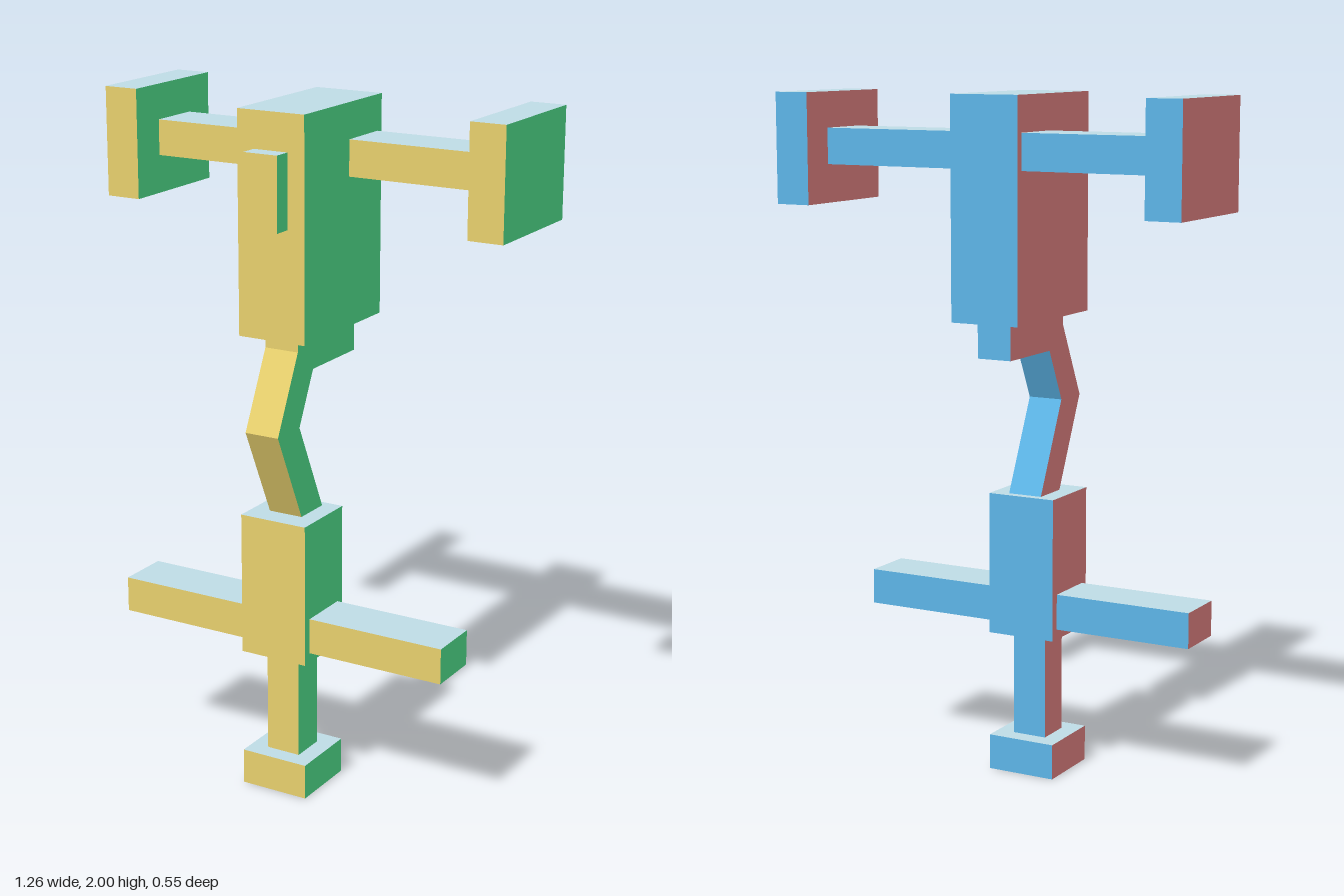
import * as THREE from 'three';

const U = 2 / 19; // block unit

function paint(name, color) {
  const m = new THREE.MeshStandardMaterial({ color });
  m.name = name;
  return m;
}

export function createModel() {
  const group = new THREE.Group();

  // One colour per direction, in box group order: +x, -x, +y, -y, +z, -z
  const sides = [
    paint('leftGreen', 0x56ef96),
    paint('rightRed', 0xf58e8d),
    paint('topPaleBlue', 0xbfdce6),
    paint('bottomSlate', 0x5a677a),
    paint('frontYellow', 0xf8df76),
    paint('backBlue', 0x63c1f6),
  ];

  // Box given by its extents along x, y and z
  function block(name, [x0, x1], [y0, y1], [z0, z1]) {
    const geo = new THREE.BoxGeometry(x1 - x0, y1 - y0, z1 - z0);
    const mesh = new THREE.Mesh(geo, sides);
    mesh.name = name;
    mesh.position.set((x0 + x1) / 2, (y0 + y1) / 2, (z0 + z1) / 2);
    group.add(mesh);
    return mesh;
  }

  // Leaning strut: a box sheared in z between two heights
  function strut(name, y0, zLow, y1, zHigh) {
    const mesh = block(name, [-U / 2, U / 2], [y0, y1], [-0.0575, 0.0575]);
    const p = mesh.geometry.attributes.position;
    for (let i = 0; i < p.count; i++) {
      p.setZ(i, p.getZ(i) + (p.getY(i) > 0 ? zHigh : zLow));
    }
    mesh.geometry.computeVertexNormals();
  }

  const wide = [-U, U];
  const narrow = [-U / 2, U / 2];

  // Foot, post and lower body
  block('foot', wide, [0, U], [0.012, 0.222]);
  block('post', narrow, [U, 4 * U], [0.065, 0.17]);
  block('lowerBody', wide, [4 * U, 8 * U], [0.012, 0.222]);

  // Bent neck
  strut('lowerNeck', 0.82, 0.084, 1.11, 0.2195);
  strut('upperNeck', 1.11, 0.2195, 13 * U, 0.094);
  block('neckBracket', narrow, [12 * U, 13 * U], [-0.143, 0.17]);

  // Upper body and front plate
  block('upperBody', wide, [13 * U, 2], [-0.199, 0.222]);
  block('frontPlate', narrow, [16 * U, 18 * U], [0.222, 0.275]);

  // Arms and end plates, mirrored
  for (const s of [1, -1]) {
    const label = s > 0 ? 'left' : 'right';
    const span = (a, b) => (s > 0 ? [a, b] : [-b, -a]);
    block(label + 'LowerArm', span(U, 5 * U), [0.451, 0.556], [0.038, 0.196]);
    block(label + 'UpperArm', span(U, 5 * U), [17 * U + 0.005, 18 * U + 0.003], [-0.175, -0.018]);
    block(label + 'EndPlate', span(5 * U, 6 * U), [16 * U, 2], [-0.277, 0.091]);
  }

  return group;
}
